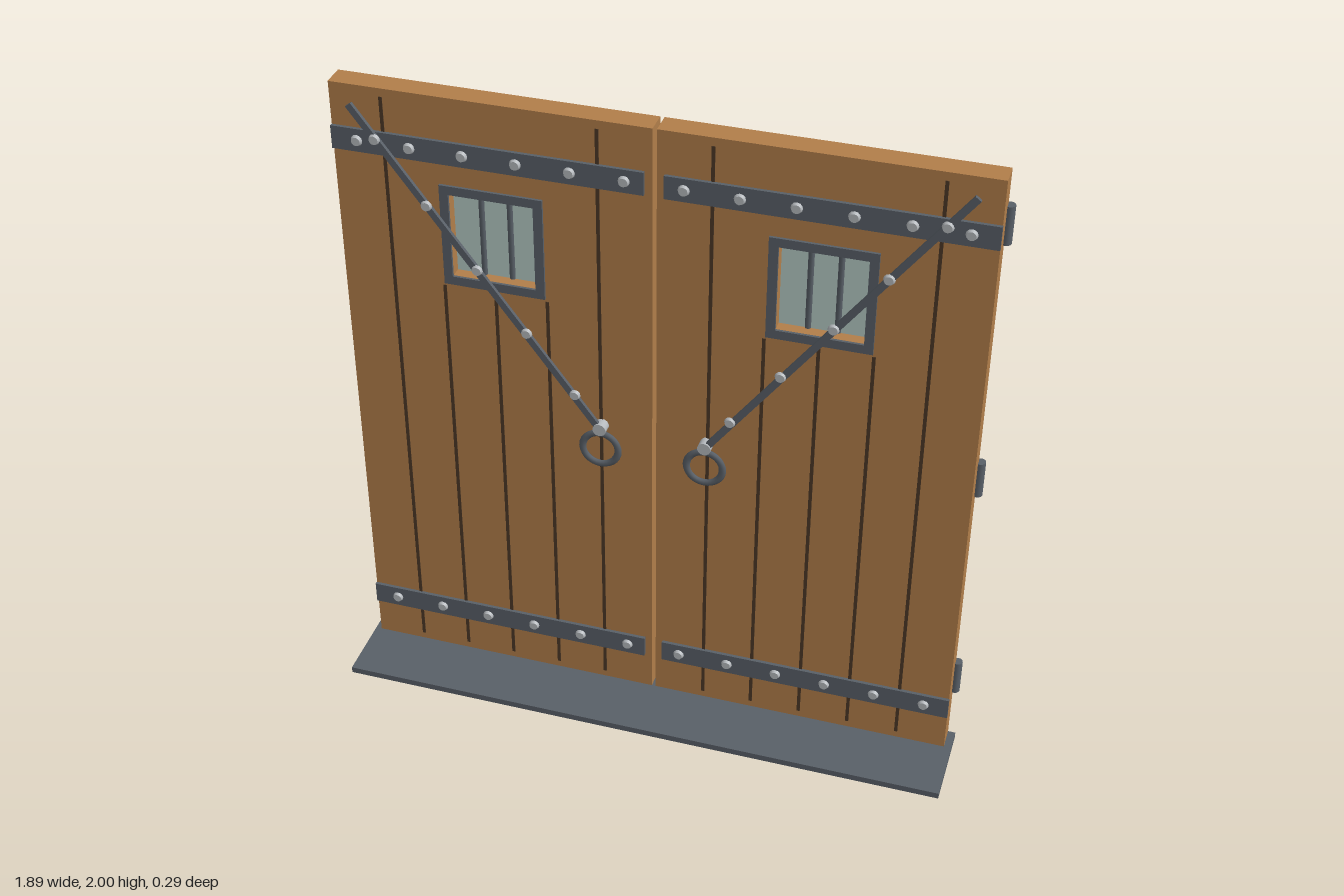
import * as THREE from 'three';

const mat = (name, color, side = THREE.FrontSide) => {
  const m = new THREE.MeshStandardMaterial({ color, side });
  m.name = name;
  return m;
};

export function createModel() {
  const wood = mat('wood', 0xb27e4a);
  const iron = mat('iron', 0x596068);
  const studMetal = mat('stud metal', 0xb6babe);
  const grooveBrown = mat('groove brown', 0x4c3826);
  const glass = mat('glass', 0xb6cbc5, THREE.DoubleSide);

  const root = new THREE.Group();
  root.name = 'doubleDoor';

  const add = (parent, name, geometry, material, x = 0, y = 0, z = 0) => {
    const mesh = new THREE.Mesh(geometry, material);
    mesh.name = name;
    mesh.position.set(x, y, z);
    parent.add(mesh);
    return mesh;
  };
  // Box given by its minimum and maximum corners
  const box = (parent, name, material, x0, x1, y0, y1, z0, z1) =>
    add(parent, name, new THREE.BoxGeometry(x1 - x0, y1 - y0, z1 - z0), material,
      (x0 + x1) / 2, (y0 + y1) / 2, (z0 + z1) / 2);
  const rect = (C, x0, x1, y0, y1) => new C([[x0, y0], [x1, y0], [x1, y1], [x0, y1]]
    .map(([x, y]) => new THREE.Vector2(x, y)));
  // Rectangular plate with a rectangular opening
  const frame = (parent, name, material, outer, inner, z0, z1) => {
    const shape = rect(THREE.Shape, ...outer);
    shape.holes.push(rect(THREE.Path, ...inner));
    return add(parent, name, new THREE.ExtrudeGeometry(shape,
      { depth: z1 - z0, bevelEnabled: false }), material, 0, 0, z0);
  };
  const stud = (parent, x, y, z0, z1) => {
    const g = new THREE.CylinderGeometry(0.013, 0.017, z1 - z0, 12).rotateX(Math.PI / 2);
    add(parent, 'stud', g, studMetal, x, y, (z0 + z1) / 2);
  };

  const FRONT = -0.047, BACK = -0.117;

  // One leaf; side is +1 for the model's left and -1 for its right
  const buildLeaf = (side) => {
    const leaf = new THREE.Group();
    leaf.name = side > 0 ? 'leftDoor' : 'rightDoor';
    const span = (a, b) => side > 0 ? [a, b] : [-b, -a];

    // Door slab with a window opening
    const opening = [...span(0.345, 0.592), 1.442, 1.706];
    frame(leaf, 'slab', wood, [...span(0.006, 0.925), 0.027, 2], opening, BACK, FRONT);

    // Plank grooves, shorter under the window
    for (let i = 0; i < 5; i++) {
      const x = side * (0.16 + i * 0.1535);
      const top = i === 0 || i === 4 ? 1.975 : 1.405;
      box(leaf, 'groove', grooveBrown, x - 0.005, x + 0.005, 0.05, top, FRONT - 0.002, FRONT + 0.002);
    }

    // Window frames on both faces, glass and bars
    const outer = [...span(0.318, 0.618), 1.415, 1.733];
    frame(leaf, 'windowFrameFront', iron, outer, opening, FRONT, FRONT + 0.008);
    frame(leaf, 'windowFrameBack', iron, outer, opening, BACK - 0.005, BACK);
    box(leaf, 'windowGlass', glass, ...opening, -0.084, -0.08);
    for (const x of [0.427, 0.51]) {
      add(leaf, 'windowBar', new THREE.CylinderGeometry(0.009, 0.009, 0.264, 10), iron, side * x, 1.574, -0.082);
    }

    // Strap bands with studs
    for (const y of [0.19, 1.835]) {
      box(leaf, 'strap', iron, ...span(0.028, 0.926), y - 0.035, y + 0.035, FRONT, -0.037);
      for (let i = 0; i < 6; i++) stud(leaf, side * (0.083 + i * 0.1535), y, -0.037, -0.028);
    }

    // Diagonal rod with studs
    const a = new THREE.Vector3(side * 0.157, 1.01, -0.026);
    const b = new THREE.Vector3(side * 0.86, 1.95, -0.026);
    const dir = b.clone().sub(a);
    const rod = add(leaf, 'diagonalRod', new THREE.BoxGeometry(0.02, dir.length(), 0.011), iron);
    rod.position.copy(a).add(b).multiplyScalar(0.5);
    rod.quaternion.setFromUnitVectors(new THREE.Vector3(0, 1, 0), dir.normalize());
    for (let i = 0; i < 5; i++) stud(leaf, side * (0.23 + i * 0.14), 1.12 + i * 0.184, -0.022, -0.013);

    // Ring pull hung from a fixing pin
    const pin = new THREE.CylinderGeometry(0.02, 0.02, 0.032, 14).rotateX(Math.PI / 2);
    add(leaf, 'ringPin', pin, studMetal, side * 0.157, 1.013, -0.031);
    const ring = add(leaf, 'ringPull', new THREE.TorusGeometry(0.054, 0.011, 8, 28), iron, side * 0.157, 0.942, -0.026);
    ring.scale.z = 0.7;

    // Back handle
    box(leaf, 'backHandle', iron, ...span(0.104, 0.21), 0.934, 0.96, -0.147, BACK);

    // Hinge barrels
    for (const y of [0.263, 1.013, 1.838]) {
      add(leaf, 'hinge', new THREE.CylinderGeometry(0.0155, 0.0155, 0.115, 12), iron, side * 0.93, y, -0.114);
    }
    return leaf;
  };

  root.add(buildLeaf(1), buildLeaf(-1));

  // Threshold plate
  box(root, 'threshold', iron, -0.947, 0.947, 0, 0.02, -0.124, 0.147);
  return root;
}
